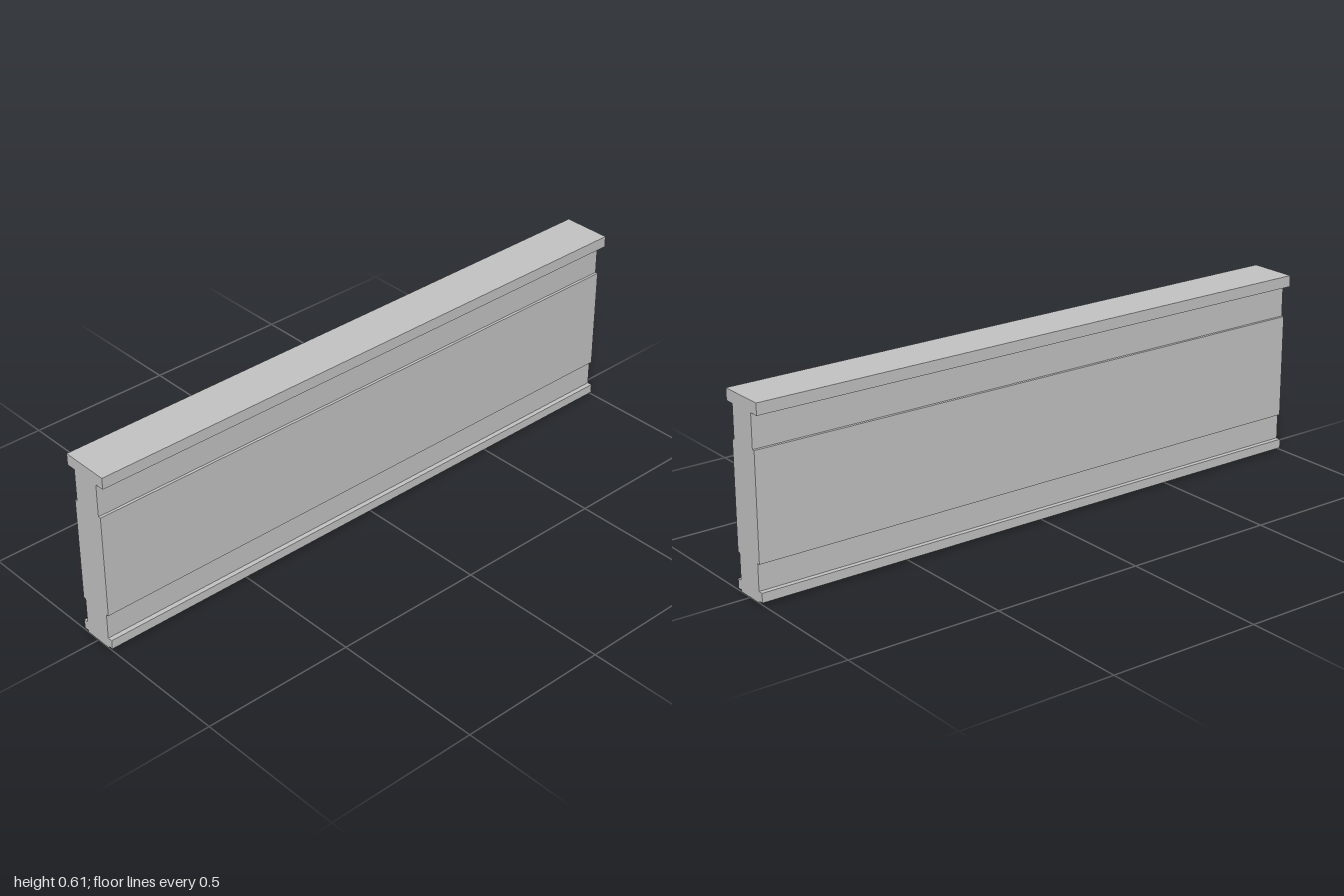
import * as THREE from 'three';

const LENGTH = 2;

// Half of the wall's cross-section, bottom to top: [half thickness, height]
const HALF_PROFILE = [
  [0.049, 0], [0.049, 0.006],     // recessed foot
  [0.065, 0.006], [0.065, 0.036], // base moulding
  [0.049, 0.036], [0.049, 0.121], // lower web
  [0.058, 0.121], [0.058, 0.461], // raised panel
  [0.049, 0.461], [0.049, 0.568], // upper web
  [0.08, 0.568], [0.08, 0.605],   // coping
];

export function createModel() {
  const group = new THREE.Group();
  group.name = 'parapetWall';

  const concrete = new THREE.MeshStandardMaterial({ color: 0xc0c0c0 });
  concrete.name = 'grey concrete';

  // Mirror the half profile into a closed outline
  const right = HALF_PROFILE.map(([t, y]) => new THREE.Vector2(t, y));
  const left = HALF_PROFILE.map(([t, y]) => new THREE.Vector2(-t, y)).reverse();
  const section = new THREE.Shape([...right, ...left]);

  // Run the section along x, centred
  const geometry = new THREE.ExtrudeGeometry(section, { depth: LENGTH, bevelEnabled: false });
  geometry.translate(0, 0, -LENGTH / 2);
  geometry.rotateY(Math.PI / 2);

  const wall = new THREE.Mesh(geometry, concrete);
  wall.name = 'mouldedWall';
  group.add(wall);

  return group;
}
